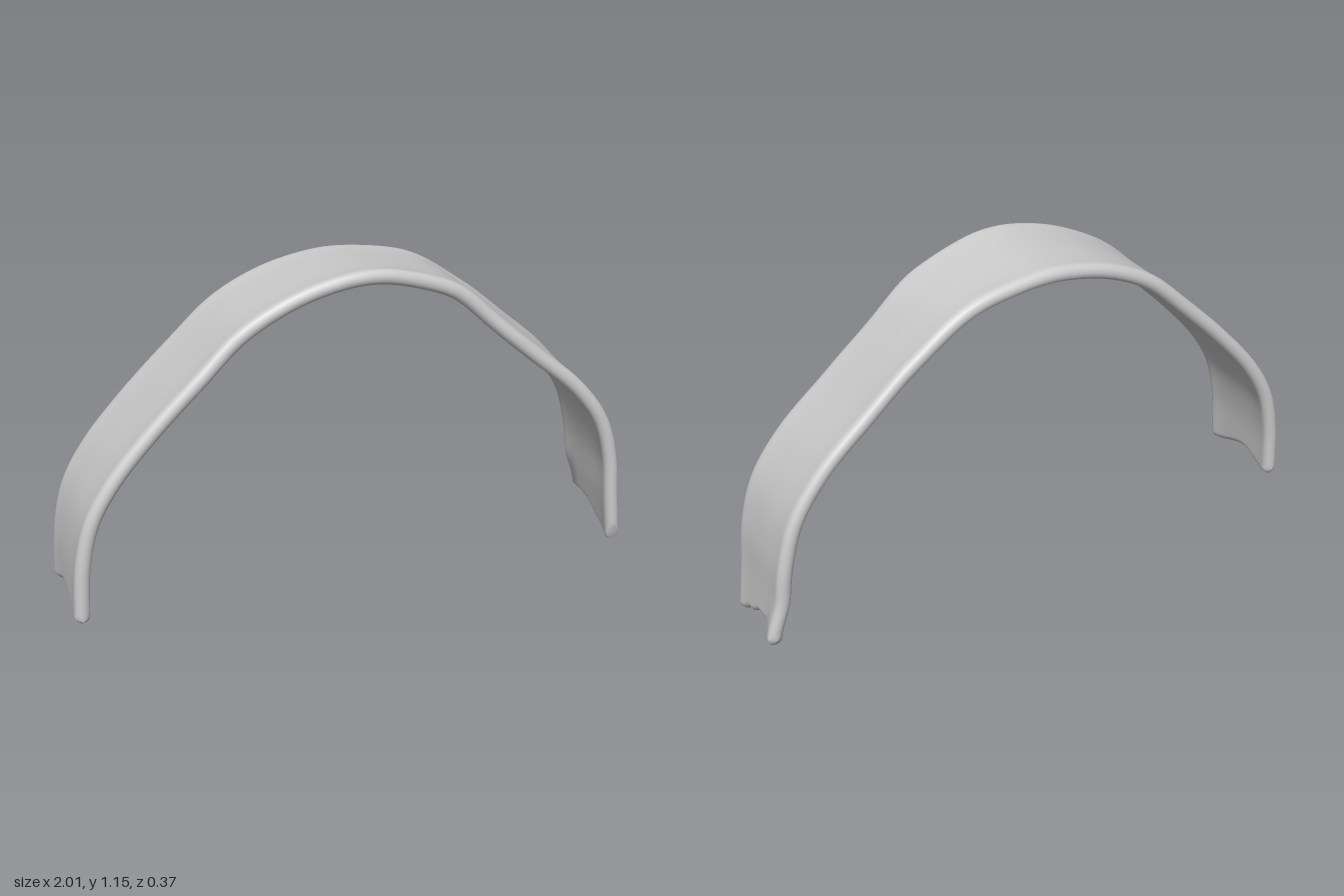
import * as THREE from 'three';

// Centre line of the band, from its right foot (-x) over the crown to its left foot (+x)
const path = new THREE.CatmullRomCurve3([
  [-0.967, 0.09], [-0.952, 0.29], [-0.915, 0.435], [-0.84, 0.56], [-0.71, 0.705], [-0.54, 0.865],
  [-0.40, 0.985], [-0.25, 1.06], [-0.12, 1.095], [0, 1.106], [0.13, 1.088], [0.30, 1.03],
  [0.46, 0.905], [0.62, 0.765], [0.78, 0.62], [0.88, 0.48], [0.925, 0.33], [0.942, 0.17], [0.962, 0],
].map(([x, y]) => new THREE.Vector3(x, y, 0)));
path.arcLengthDivisions = 1000;

// Smooth interpolation through a few [key, value] pairs
function ease(table, k) {
  if (k <= table[0][0]) return table[0][1];
  for (let i = 1; i < table.length; i++) {
    const [k0, v0] = table[i - 1], [k1, v1] = table[i];
    if (k <= k1) return v0 + (v1 - v0) * THREE.MathUtils.smoothstep(k, k0, k1);
  }
  return table[table.length - 1][1];
}

// Arched trim of each foot across the depth of the band (length cut away, by z)
const trimRight = [[-0.185, 0.035], [-0.16, 0.005], [-0.02, 0.05], [0.165, 0.004], [0.185, 0.015]];
const trimLeft = [[-0.18, 0.08], [-0.155, 0.053], [-0.125, 0.065], [-0.07, 0.085], [0, 0.078],
  [0.08, 0.04], [0.165, 0], [0.186, 0.06]];
// Slight twist along the band: positive pushes the front edge outwards
const twist = [[0, 0.006], [0.35, 0.005], [0.5, 0.015], [0.58, 0.004], [0.68, -0.013], [0.88, -0.01], [1, -0.014]];
// Half depth of the back edge along the band
const backDepth = [[0, 0.175], [0.1, 0.182], [0.9, 0.183], [1, 0.174]];
// Wavy front edge
const frontDepth = [[0, 0.184], [0.28, 0.183], [0.34, 0.173], [0.5, 0.184], [0.62, 0.173], [0.7, 0.182], [1, 0.185]];

// Rounded flat cross-section: [z from -1 to 1, thickness from -1 to 1, roundness in z]
function sectionLoop() {
  const loop = [], flat = 20, arc = 8;
  for (const side of [1, -1]) {
    for (let i = 0; i < arc; i++) {
      const a = -Math.PI / 2 + (Math.PI * i) / arc;
      loop.push([side, side * Math.sin(a), side * Math.cos(a)]);
    }
    for (let i = 0; i < flat; i++) loop.push([side * (1 - (2 * i) / flat), side, 0]);
  }
  return loop;
}

function bandGeometry() {
  const length = path.getLength(), edge = 0.025, rows = [];
  // Rows crowd together at the feet so that their lips are round
  const lip = 6, body = 110;
  for (let i = 0; i < lip; i++) rows.push((edge / length) * (1 - Math.cos((Math.PI / 2) * (i / lip))));
  const first = edge / length;
  for (let i = 0; i <= body; i++) rows.push(first + (1 - 2 * first) * (i / body));
  for (let i = lip - 1; i >= 0; i--) rows.push(1 - rows[i]);

  const loop = sectionLoop(), n = loop.length, pos = [], index = [];
  for (const s of rows) {
    const d = Math.min(1, (Math.min(s, 1 - s) * length) / edge);
    const round = Math.sqrt(Math.max(0, 1 - (1 - d) ** 2));
    const zBack = -ease(backDepth, s), zFront = ease(frontDepth, s);
    for (const [w, t, r] of loop) {
      const z = THREE.MathUtils.lerp(zBack + edge, zFront - edge, (w + 1) / 2) + r * edge;
      const u0 = ease(trimRight, z) / length, u1 = 1 - ease(trimLeft, z) / length;
      const u = THREE.MathUtils.clamp(u0 + (u1 - u0) * s, 0, 1);
      const p = path.getPointAt(u), g = path.getTangentAt(u);
      // Slightly thicker rims, and a small outward curl at the back of the left foot
      const half = (0.021 + 0.005 * w ** 4) * round;
      const curl = 0.02 * THREE.MathUtils.smoothstep(u, 0.93, 0.975) * THREE.MathUtils.smoothstep(-z, 0.07, 0.16);
      const out = t * half + ease(twist, u) * (z / 0.18) + curl;
      pos.push(p.x - g.y * out, p.y + g.x * out, z);
    }
  }
  for (let i = 0; i < rows.length - 1; i++) {
    for (let j = 0; j < n; j++) {
      const a = i * n + j, b = i * n + ((j + 1) % n), c = a + n, e = b + n;
      index.push(a, c, b, b, c, e);
    }
  }
  const geometry = new THREE.BufferGeometry();
  geometry.setAttribute('position', new THREE.Float32BufferAttribute(pos, 3));
  geometry.setIndex(index);
  geometry.computeVertexNormals();
  return geometry;
}

export function createModel() {
  const group = new THREE.Group();
  group.name = 'archedBand';
  const band = new THREE.Mesh(bandGeometry(),
    new THREE.MeshStandardMaterial({ color: 0xcccccc, side: THREE.DoubleSide }));
  band.name = 'band';
  group.add(band);
  return group;
}
